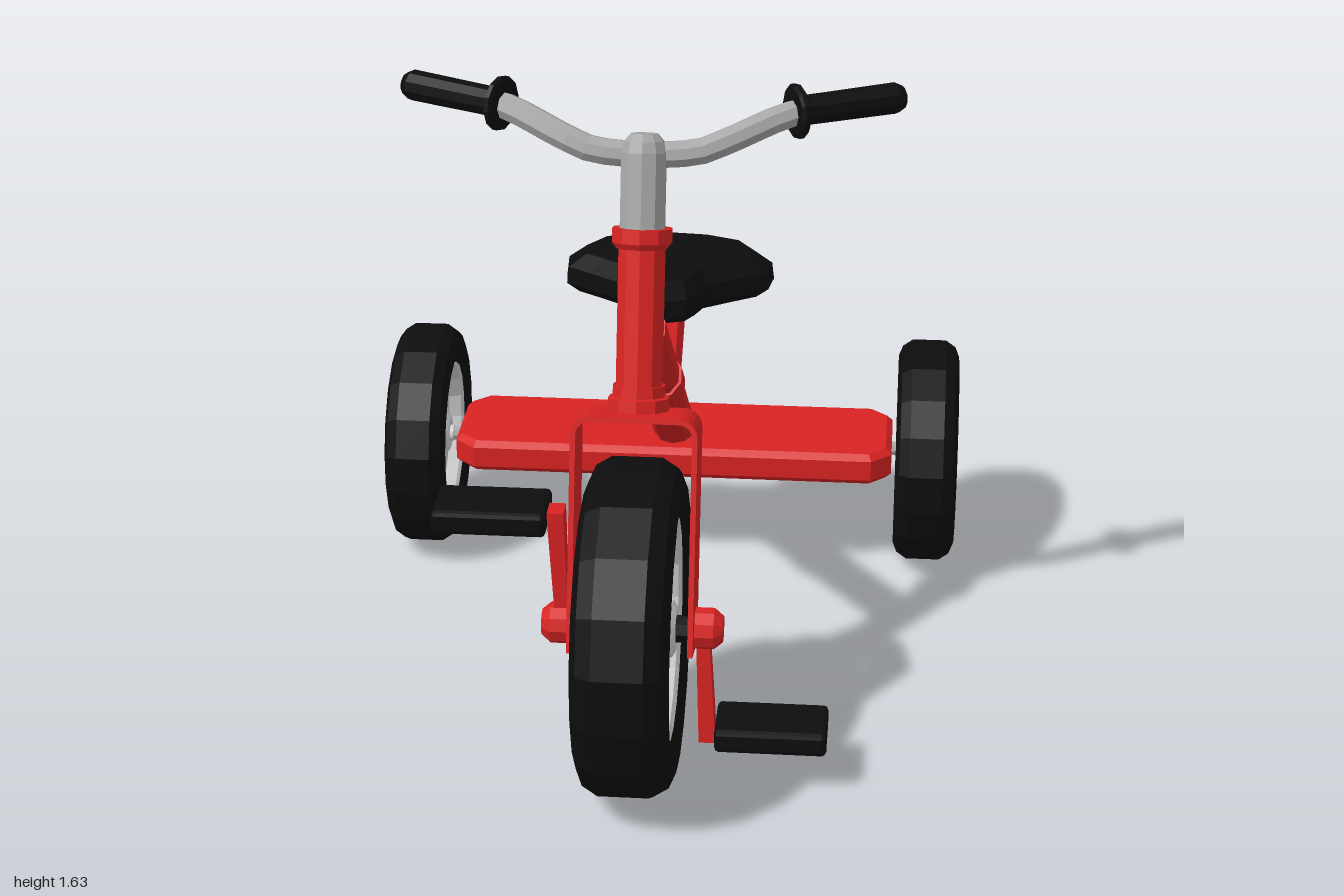
import * as THREE from 'three';
import { RoundedBoxGeometry } from 'three/addons/geometries/RoundedBoxGeometry.js';

const paint = (name, color) => Object.assign(new THREE.MeshStandardMaterial({ color }), { name });
const V = (x, y, z) => new THREE.Vector3(x, y, z);

export function createModel() {
  const red = paint('red paint', 0xd92323);
  const black = paint('black rubber', 0x0d0d0d);
  const steel = paint('steel', 0xa6a6a6);
  const rimGrey = paint('light rim grey', 0xd0d0d0);
  const model = new THREE.Group();
  model.name = 'tricycle';

  // Adds a faceted mesh
  function add(name, geometry, material, parent = model) {
    const flat = geometry.index ? geometry.toNonIndexed() : geometry;
    flat.computeVertexNormals();
    const mesh = new THREE.Mesh(flat, material);
    mesh.name = name;
    parent.add(mesh);
    return mesh;
  }

  // Turned part between two points; profile holds [radius, fraction of length]
  function turned(p, q, profile, sides = 10) {
    const axis = q.clone().sub(p);
    const length = axis.length();
    const points = profile.map(([r, t]) => new THREE.Vector2(r, t * length));
    const geometry = new THREE.LatheGeometry(points, sides);
    geometry.applyQuaternion(new THREE.Quaternion().setFromUnitVectors(V(0, 1, 0), axis.normalize()));
    return geometry.translate(p.x, p.y, p.z);
  }
  const rod = (p, q, r, sides) => turned(p, q, [[0, 0], [r, 0], [r, 1], [0, 1]], sides);

  // Wheel: half profiles [radius, half width] are mirrored across the middle
  function wheel(name, x, y, z, tyreHalf, rimHalf) {
    const group = new THREE.Group();
    group.name = name;
    group.position.set(x, y, z);
    model.add(group);
    const sides = 18;
    const spin = (half) => {
      const left = half.map(([r, w]) => new THREE.Vector2(r, -w));
      const right = half.map(([r, w]) => new THREE.Vector2(r, w)).reverse();
      return new THREE.LatheGeometry([...left, ...right], sides)
        .rotateZ(-Math.PI / 2).rotateX(Math.PI / sides);
    };
    add('tyre', spin(tyreHalf), black, group);
    add('rim', spin(rimHalf), rimGrey, group);
  }

  wheel('frontWheel', 0, 0.408, 0.6,
    [[0.265, 0.095], [0.30, 0.108], [0.345, 0.115], [0.385, 0.098], [0.408, 0.06]],
    [[0, 0.105], [0.055, 0.105], [0.07, 0.095], [0.07, 0.05], [0.245, 0.05], [0.255, 0.09], [0.27, 0.099], [0.275, 0.08]]);
  for (const s of [1, -1]) {
    wheel(s > 0 ? 'rearWheelLeft' : 'rearWheelRight', s * 0.695, 0.303, -0.7,
      [[0.195, 0.066], [0.22, 0.078], [0.26, 0.083], [0.287, 0.072], [0.305, 0.045]],
      [[0, 0.07], [0.022, 0.07], [0.022, 0.06], [0.045, 0.06], [0.06, 0.05], [0.06, 0.03],
        [0.18, 0.03], [0.19, 0.062], [0.2, 0.07], [0.203, 0.055]]);
  }
  add('rearAxle', rod(V(-0.69, 0.303, -0.7), V(0.69, 0.303, -0.7), 0.02, 8), steel);
  add('frontAxle', rod(V(-0.15, 0.408, 0.6), V(0.15, 0.408, 0.6), 0.034, 8), black);

  // Rear deck: chamfered plate
  const deckShape = new THREE.Shape([
    [-0.585, 0.13], [-0.585, -0.11], [-0.54, -0.153], [0.54, -0.153],
    [0.585, -0.11], [0.585, 0.11], [0.54, 0.153], [-0.54, 0.153], [-0.585, 0.11],
  ].filter((p, i) => i > 0).map(([x, y]) => new THREE.Vector2(x, y)));
  const deck = new THREE.ExtrudeGeometry(deckShape, {
    depth: 0.056, bevelEnabled: true, bevelSize: 0.016, bevelThickness: 0.016, bevelSegments: 1,
  }).rotateX(-Math.PI / 2).translate(0, 0.28, -0.702);
  add('rearDeck', deck, red);

  // Frame tube, seat clamp and seat post
  const head = V(0, 1.07, 0.33), tail = V(0, 0.34, -0.69);
  const along = (t) => head.clone().lerp(tail, t);
  add('mainTube', rod(head, tail, 0.057, 10), red);
  add('seatClamp', rod(along(0.42), along(0.53), 0.064, 10), red);
  add('seatPost', rod(V(0, 0.69, -0.19), V(0, 0.875, -0.42), 0.05, 8), red);

  // Saddle: one outline stacked in layers of [scale, height]
  const half = [[0.07, -0.14], [0.095, -0.2], [0.115, -0.27], [0.2, -0.345], [0.265, -0.4],
    [0.275, -0.5], [0.22, -0.61], [0.11, -0.665]];
  const outline = [[0, -0.108], ...half, [0, -0.677], ...half.map(([x, z]) => [-x, z]).reverse()];
  const layers = [[0, 0.862], [0.88, 0.862], [1, 0.885], [0.98, 0.93], [0.8, 0.968], [0, 0.98]];
  const n = outline.length, middle = -0.42, vertices = [], faces = [];
  layers.forEach(([scale, y], j) => outline.forEach(([x, pz], i) => {
    const z = middle + (pz - middle) * scale;
    vertices.push(x * scale, y + 0.08 * (z - middle), z);
    if (j === 0) return;
    const a = (j - 1) * n + i, b = (j - 1) * n + (i + 1) % n;
    if (j > 1) faces.push(a, b, b + n);
    else faces.push(a, b + n, a + n);
    if (j > 1 && j < layers.length - 1) faces.push(a, b + n, a + n);
  }));
  const saddle = new THREE.BufferGeometry();
  saddle.setAttribute('position', new THREE.Float32BufferAttribute(vertices, 3));
  saddle.setIndex(faces);
  add('saddle', saddle, black);

  // Steering column, tilted back about the front axle
  const steering = new THREE.Group();
  steering.name = 'steeringColumn';
  steering.position.set(0, 0.408, 0.6);
  steering.rotation.x = -0.25;
  model.add(steering);

  // Fork: bent flat strap
  const fork = new THREE.Shape();
  fork.moveTo(0.15, -0.05);
  fork.lineTo(0.15, 0.475);
  fork.absarc(0.105, 0.475, 0.045, 0, Math.PI / 2, false);
  fork.absarc(-0.105, 0.475, 0.045, Math.PI / 2, Math.PI, false);
  fork.lineTo(-0.15, -0.05);
  fork.lineTo(-0.137, -0.05);
  fork.absarc(-0.105, 0.475, 0.032, Math.PI, Math.PI / 2, true);
  fork.absarc(0.105, 0.475, 0.032, Math.PI / 2, 0, true);
  fork.lineTo(0.137, -0.05);
  add('fork', new THREE.ExtrudeGeometry(fork, { depth: 0.166, bevelEnabled: false, curveSegments: 3 })
    .translate(0, 0, -0.083), red, steering);

  // Head tube with collars, and the stem
  const up = (y) => V(0, y, -0.043);
  add('headTube', rod(up(0.51), up(0.93), 0.057), red, steering);
  add('lowerCollar', turned(up(0.52), up(0.58),
    [[0, 0], [0.075, 0], [0.075, 0.5], [0.064, 0.55], [0.064, 1], [0, 1]]), red, steering);
  add('upperCollar', turned(up(0.905), up(0.953),
    [[0, 0], [0.062, 0], [0.073, 0.3], [0.073, 1], [0, 1]]), red, steering);
  add('stem', turned(up(0.93), up(1.175),
    [[0, 0], [0.055, 0], [0.055, 0.82], [0.048, 0.93], [0.033, 1], [0, 1]]), steel, steering);

  // Handlebar, flanges and grips
  const bend = [[0.12, 1.488, 0.255], [0.2, 1.515, 0.235], [0.34, 1.56, 0.167], [0.5, 1.565, 0.083]];
  const path = new THREE.CatmullRomCurve3([
    ...bend.map(([x, y, z]) => V(-x, y, z)).reverse(), ...bend.map((p) => V(...p))]);
  add('handlebar', new THREE.TubeGeometry(path, 24, 0.033, 8), steel);
  for (const s of [1, -1]) {
    add('gripFlange', turned(V(s * 0.342, 1.565, 0.166), V(s * 0.362, 1.565, 0.156),
      [[0, 0], [0.058, 0], [0.066, 0.25], [0.066, 0.75], [0.058, 1], [0, 1]], 12), black);
    add('grip', turned(V(s * 0.345, 1.565, 0.165), V(s * 0.598, 1.565, 0.032),
      [[0, 0], [0.036, 0], [0.038, 0.93], [0.028, 1], [0, 1]]), black);

    // Crank and pedal: left one down, right one up
    const side = s > 0 ? 'left' : 'right';
    add(side + 'CrankHub', turned(V(s * 0.145, 0.41, 0.595), V(s * 0.217, 0.41, 0.595),
      [[0, 0], [0.05, 0], [0.05, 0.7], [0.032, 1], [0, 1]]), red);
    const arm = new THREE.BoxGeometry(0.035, 0.3, 0.05);
    const p = arm.attributes.position;
    for (let i = 0; i < p.count; i++) {
      const far = p.getY(i) < 0; // outer end leans away and widens
      p.setX(i, p.getX(i) * (far ? 1.15 : 0.9) + s * (far ? 0.181 : 0.168));
      p.setZ(i, p.getZ(i) * (far ? 1.15 : 0.8) * 1);
    }
    arm.translate(0, -0.15, 0);
    if (s < 0) arm.rotateX(Math.PI);
    add(side + 'Crank', arm.translate(0, 0.41, 0.59), red);
    add(side + 'Pedal', new RoundedBoxGeometry(0.27, 0.06, 0.16, 1, 0.012)
      .translate(s * 0.335, s > 0 ? 0.135 : 0.692, 0.58), black);
  }
  return model;
}
